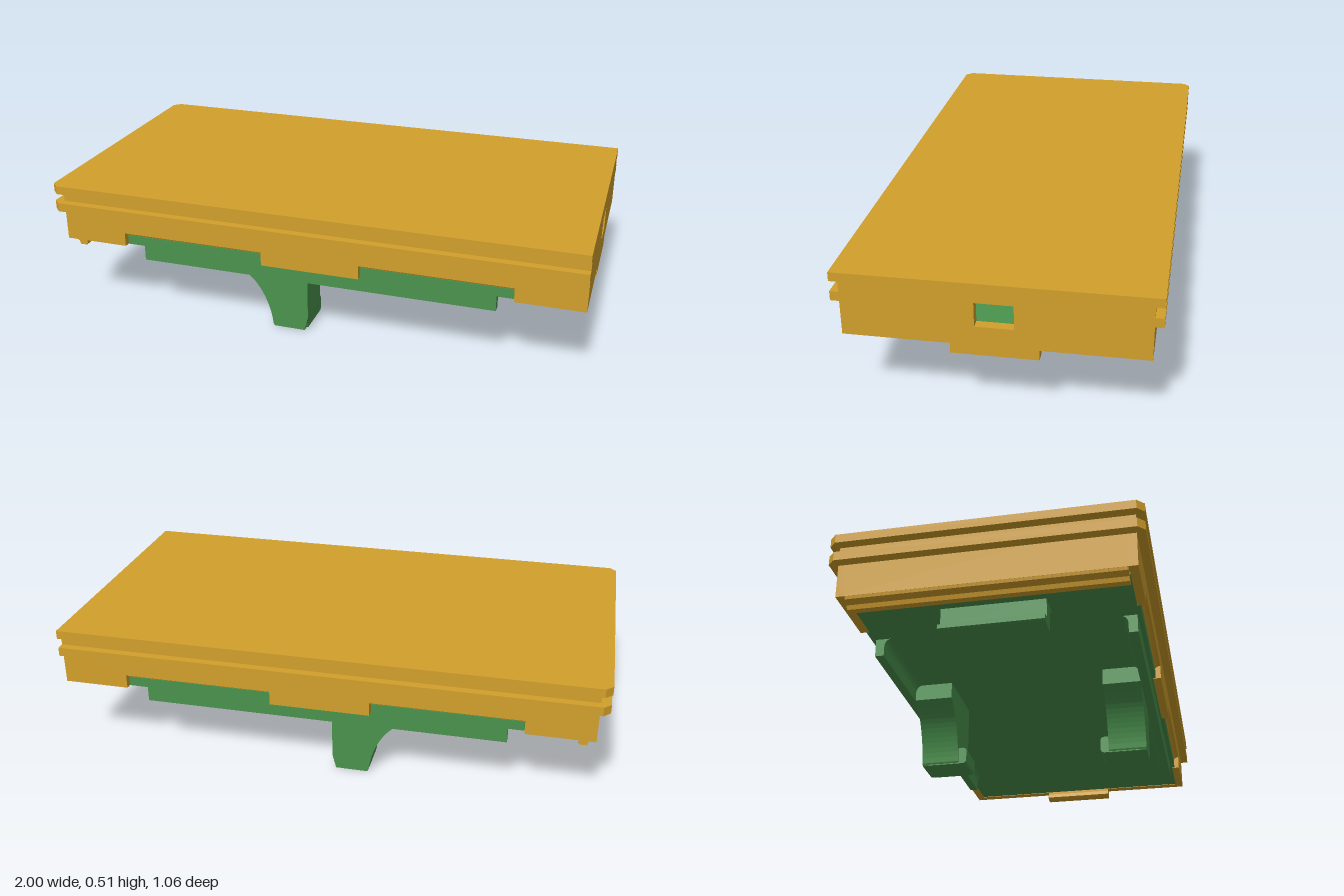
import * as THREE from 'three';

const amber = new THREE.MeshStandardMaterial({ color: 0xd29f2b });
const green = new THREE.MeshStandardMaterial({ color: 0x4a934e });

export function createModel() {
  const root = new THREE.Group();
  const add = (geo, mat, name, parent = root) => {
    const m = new THREE.Mesh(geo, mat);
    m.name = name;
    parent.add(m);
    return m;
  };
  const poly = pts => new THREE.Shape(pts.map(p => new THREE.Vector2(p[0], p[1])));
  const box = (x0, x1, y0, y1, z0, z1) =>
    new THREE.BoxGeometry(x1 - x0, y1 - y0, z1 - z0).translate((x0 + x1) / 2, (y0 + y1) / 2, (z0 + z1) / 2);
  const extrude = (shape, depth) =>
    new THREE.ExtrudeGeometry(shape, { depth, bevelEnabled: false, curveSegments: 14 });
  // Shape in (x, y), running from z0 to z1
  const alongZ = (shape, z0, z1) => extrude(shape, z1 - z0).translate(0, 0, z0);
  // Shape in (-z, y), running from x0 to x1
  const alongX = (shape, x0, x1) => extrude(shape, x1 - x0).rotateY(Math.PI / 2).translate(x0, 0, 0);
  // Shape in (x, -z), running from y0 to y1
  const alongY = (shape, y0, y1) => extrude(shape, y1 - y0).rotateX(-Math.PI / 2).translate(0, y0, 0);

  // ---- Amber cover ----
  const cover = new THREE.Group();
  cover.name = 'cover';
  root.add(cover);

  const c = 0.025;
  add(alongY(poly([[-1, -0.532 + c], [-1 + c, -0.532], [1, -0.532], [1, 0.532],
    [-1 + c, 0.532], [-1, 0.532 - c]]), 0.475, 0.507), amber, 'topPanel', cover);

  // Lower rim: runs round three sides, open at the window end
  add(alongY(poly([[-1, -0.532 + c], [-1 + c, -0.532], [1, -0.532], [1, -0.48], [-0.94, -0.48],
    [-0.94, 0.48], [1, 0.48], [1, 0.532], [-1 + c, 0.532], [-1, 0.532 - c]]),
    0.405, 0.438), amber, 'lowerRim', cover);

  // Long walls with two notches in the lower edge
  const notches = [[-0.72, -0.17], [0.2, 0.755]];
  const wall = poly([[-0.965, 0.283], [-0.72, 0.283], [-0.72, 0.335], [-0.17, 0.335], [-0.17, 0.283],
    [0.2, 0.283], [0.2, 0.335], [0.755, 0.335], [0.755, 0.283], [0.998, 0.283],
    [0.998, 0.476], [-0.965, 0.476]]);
  for (const s of [-1, 1]) {
    add(alongZ(wall, s > 0 ? 0.472 : -0.502, s > 0 ? 0.502 : -0.472), amber, 'sideWall', cover);
    for (const [x0, x1] of notches) {
      const fillet = new THREE.Shape();
      fillet.moveTo(-s * 0.502, 0.336);
      fillet.quadraticCurveTo(-s * 0.485, 0.334, -s * 0.478, 0.318);
      fillet.lineTo(-s * 0.472, 0.318);
      fillet.lineTo(-s * 0.472, 0.336);
      add(alongX(fillet, x0, x1), amber, 'notchFillet', cover);
    }
  }

  // Window end wall with a central tab
  const end = poly([[-0.502, 0.283], [-0.145, 0.283], [-0.145, 0.247], [0.145, 0.247],
    [0.145, 0.283], [0.502, 0.283], [0.502, 0.476], [-0.502, 0.476]]);
  end.holes.push(poly([[-0.064, 0.352], [-0.064, 0.438], [0.064, 0.438], [0.064, 0.352]]));
  add(alongX(end, 0.965, 1), amber, 'windowWall', cover);
  add(alongZ(poly([[0.955, 0.255], [0.965, 0.247], [0.99, 0.247], [0.99, 0.283], [0.975, 0.275],
    [0.96, 0.272]]), -0.145, 0.145), amber, 'tabCatch', cover);

  // Plain end wall with a hooked lip below
  add(box(-0.965, -0.93, 0.283, 0.476, -0.502, 0.502), amber, 'plainEndWall', cover);
  add(alongZ(poly([[-0.965, 0.285], [-0.962, 0.272], [-0.94, 0.262], [-0.935, 0.247], [-0.91, 0.247],
    [-0.905, 0.255], [-0.905, 0.268], [-0.925, 0.275], [-0.93, 0.285]]),
    -0.47, 0.47), amber, 'endLip', cover);

  // ---- Green base ----
  const base = new THREE.Group();
  base.name = 'base';
  root.add(base);
  add(box(-0.915, 0.962, 0.284, 0.312, -0.471, 0.471), green, 'basePlate', base);

  // Leg profile with a concave sweep on one side
  const leg = new THREE.Shape();
  leg.moveTo(-0.28, 0.29);
  leg.lineTo(-0.28, 0.222);
  leg.bezierCurveTo(-0.21, 0.19, -0.165, 0.1, -0.155, 0.01);
  leg.lineTo(-0.15, 0);
  leg.lineTo(-0.03, 0);
  leg.lineTo(-0.016, 0.055);
  leg.lineTo(-0.016, 0.29);

  for (const s of [-1, 1]) {
    const span = (a, b) => (s > 0 ? [a, b] : [-b, -a]);

    // Side skirt, with a fillet where it meets the plate
    const skirt = new THREE.Shape();
    skirt.moveTo(-s * 0.466, 0.29);
    skirt.lineTo(-s * 0.466, 0.218);
    skirt.lineTo(-s * 0.434, 0.218);
    skirt.lineTo(-s * 0.434, 0.255);
    skirt.quadraticCurveTo(-s * 0.432, 0.284, -s * 0.4, 0.286);
    skirt.lineTo(-s * 0.4, 0.29);
    add(alongX(skirt, -0.66, 0.69), green, 'sideSkirt', base);
    for (const [x0, x1] of notches)
      add(box(x0 + 0.002, x1 - 0.002, 0.284, 0.32, ...span(0.46, 0.482)), green, 'skirtTab', base);

    add(alongZ(leg, ...span(0.292, 0.434)), green, 'leg', base);

    // Rounded foot reaching inwards
    const foot = new THREE.Shape();
    const [a, b] = span(0.261, 0.42).map(z => -z).sort((p, q) => p - q);
    const r = 0.016;
    foot.moveTo(a + r, 0.001);
    foot.lineTo(b - r, 0.001);
    foot.quadraticCurveTo(b, 0.001, b, 0.001 + r);
    foot.lineTo(b, 0.065 - r);
    foot.quadraticCurveTo(b, 0.065, b - r, 0.065);
    foot.lineTo(a + r, 0.065);
    foot.quadraticCurveTo(a, 0.065, a, 0.065 - r);
    foot.lineTo(a, 0.001 + r);
    foot.quadraticCurveTo(a, 0.001, a + r, 0.001);
    add(alongX(foot, -0.152, -0.024), green, 'foot', base);
  }

  // Snap clip with an outward hook
  const clip = new THREE.Shape();
  clip.moveTo(-0.822, 0.29);
  clip.lineTo(-0.822, 0.218);
  clip.quadraticCurveTo(-0.825, 0.212, -0.845, 0.212);
  clip.lineTo(-0.856, 0.205);
  clip.lineTo(-0.856, 0.19);
  clip.lineTo(-0.85, 0.186);
  clip.lineTo(-0.775, 0.186);
  clip.quadraticCurveTo(-0.764, 0.186, -0.764, 0.2);
  clip.lineTo(-0.764, 0.24);
  clip.quadraticCurveTo(-0.762, 0.282, -0.72, 0.284);
  clip.lineTo(-0.72, 0.29);
  add(alongZ(clip, -0.182, 0.182), green, 'snapClip', base);

  return root;
}
